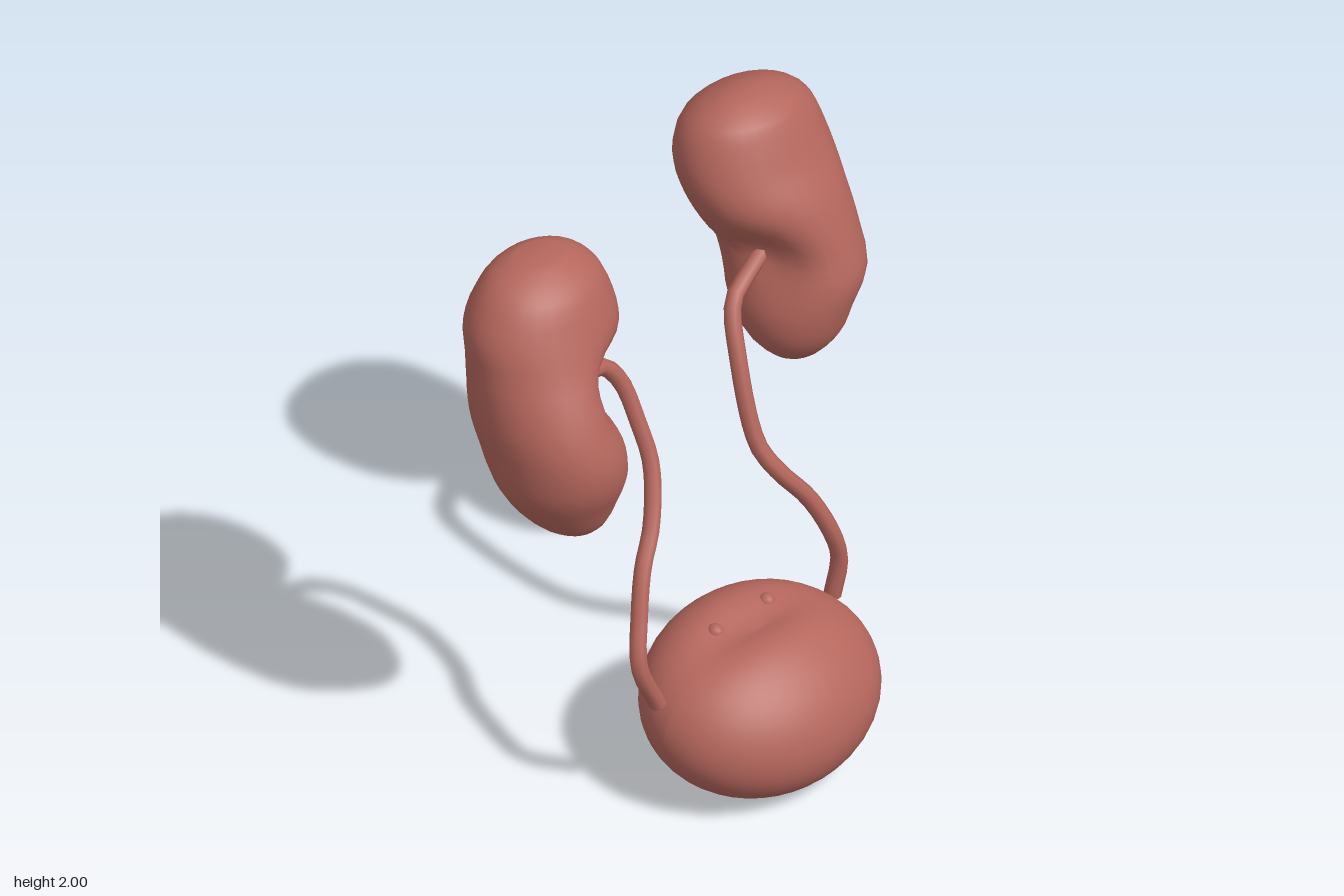
import * as THREE from 'three';

const material = new THREE.MeshStandardMaterial({ color: 0xb4665c, side: THREE.DoubleSide });

function addMesh(group, geometry, name) {
  const mesh = new THREE.Mesh(geometry, material);
  mesh.name = name;
  group.add(mesh);
  return mesh;
}

// Pull vertices near a point along a push vector, fading smoothly with distance
function dent(geometry, centre, radius, push) {
  const pos = geometry.attributes.position;
  const p = new THREE.Vector3();
  for (let i = 0; i < pos.count; i++) {
    p.fromBufferAttribute(pos, i);
    const d = p.clone().sub(centre).divide(radius);
    p.addScaledVector(push, Math.exp(-d.lengthSq()));
    pos.setXYZ(i, p.x, p.y, p.z);
  }
}

// Loft of oval slices; each row is [y, xMin, xMax, zMin, zMax], top to bottom
function loft(rows, rings = 30, sides = 28) {
  const low = new THREE.CatmullRomCurve3(rows.map(r => new THREE.Vector3(r[1], r[0], r[3])));
  const high = new THREE.CatmullRomCurve3(rows.map(r => new THREE.Vector3(r[2], r[0], r[4])));
  const pos = [], index = [];
  for (let j = 0; j <= rings; j++) {
    const a = low.getPoint(j / rings), b = high.getPoint(j / rings);
    for (let i = 0; i < sides; i++) {
      const t = (i / sides) * Math.PI * 2;
      pos.push(
        (a.x + b.x) / 2 + (b.x - a.x) / 2 * Math.cos(t),
        (a.y + b.y) / 2,
        (a.z + b.z) / 2 + (b.z - a.z) / 2 * Math.sin(t));
      if (j === rings) continue;
      const n = (i + 1) % sides, r = j * sides, s = r + sides;
      index.push(r + i, r + n, s + i, r + n, s + n, s + i);
    }
  }
  // Close both ends with a centre point
  for (const [ring, flip] of [[0, false], [rings, true]]) {
    const c = pos.length / 3, row = rows[flip ? rows.length - 1 : 0];
    pos.push((row[1] + row[2]) / 2, row[0] + (flip ? -0.004 : 0.004), (row[3] + row[4]) / 2);
    for (let i = 0; i < sides; i++) {
      const p = ring * sides + i, q = ring * sides + (i + 1) % sides;
      index.push(c, flip ? p : q, flip ? q : p);
    }
  }
  const geometry = new THREE.BufferGeometry();
  geometry.setAttribute('position', new THREE.Float32BufferAttribute(pos, 3));
  geometry.setIndex(index);
  return geometry;
}

function addKidney(group, name, rows, hilum, push) {
  const geometry = loft(rows);
  dent(geometry, hilum, new THREE.Vector3(0.12, 0.11, 0.12), push);
  geometry.computeVertexNormals();
  addMesh(group, geometry, name);
}

// Thin duct with flat capped lower end
function addUreter(group, name, points) {
  const curve = new THREE.CatmullRomCurve3(points.map(p => new THREE.Vector3(...p)));
  const duct = new THREE.Group();
  duct.name = name;
  addMesh(duct, new THREE.TubeGeometry(curve, 30, 0.028, 8), name + 'Tube');
  const cap = addMesh(duct, new THREE.CircleGeometry(0.028, 8), name + 'End');
  cap.position.copy(curve.getPoint(1));
  cap.lookAt(cap.position.clone().add(curve.getTangent(1)));
  group.add(duct);
}

export function createModel() {
  const group = new THREE.Group();
  group.name = 'urinarySystem';

  // Kidneys, leaning back at the top
  addKidney(group, 'leftKidney', [
    [2.0, 0.39, 0.53, -0.38, -0.29],
    [1.96, 0.29, 0.64, -0.46, -0.21],
    [1.9, 0.24, 0.71, -0.52, -0.17],
    [1.8, 0.215, 0.74, -0.535, -0.12],
    [1.7, 0.23, 0.745, -0.52, -0.06],
    [1.6, 0.27, 0.75, -0.5, -0.02],
    [1.5, 0.325, 0.75, -0.47, 0.01],
    [1.4, 0.335, 0.75, -0.44, 0.035],
    [1.3, 0.325, 0.7, -0.39, 0.02],
    [1.2, 0.345, 0.66, -0.32, -0.01],
    [1.11, 0.42, 0.59, -0.23, -0.08],
    [1.08, 0.48, 0.53, -0.18, -0.13],
  ], new THREE.Vector3(0.33, 1.52, -0.12), new THREE.Vector3(0.05, 0, -0.05));
  addKidney(group, 'rightKidney', [
    [1.88, -0.53, -0.37, -0.37, -0.25],
    [1.85, -0.61, -0.3, -0.42, -0.19],
    [1.8, -0.67, -0.25, -0.455, -0.13],
    [1.7, -0.73, -0.215, -0.48, -0.08],
    [1.6, -0.74, -0.22, -0.47, -0.03],
    [1.5, -0.75, -0.3, -0.45, 0.02],
    [1.4, -0.755, -0.35, -0.43, 0.06],
    [1.3, -0.745, -0.335, -0.4, 0.085],
    [1.2, -0.73, -0.32, -0.36, 0.075],
    [1.1, -0.68, -0.33, -0.31, 0.03],
    [1.0, -0.59, -0.38, -0.24, -0.02],
    [0.95, -0.5, -0.46, -0.15, -0.09],
  ], new THREE.Vector3(-0.36, 1.49, -0.08), new THREE.Vector3(-0.06, 0, -0.07));

  // Ureters
  addUreter(group, 'leftUreter', [
    [0.42, 1.51, -0.2], [0.33, 1.45, -0.19], [0.25, 1.4, -0.17], [0.2, 1.25, -0.1], [0.185, 0.98, 0.0],
    [0.22, 0.89, 0.05], [0.31, 0.76, 0.095], [0.37, 0.62, 0.13], [0.405, 0.5, 0.13], [0.39, 0.36, 0.115]]);
  addUreter(group, 'rightUreter', [
    [-0.4, 1.47, -0.16], [-0.31, 1.45, -0.17], [-0.25, 1.37, -0.15], [-0.23, 1.24, -0.1], [-0.23, 1.1, -0.04],
    [-0.3, 0.94, 0.03], [-0.38, 0.85, 0.075], [-0.44, 0.72, 0.12], [-0.485, 0.58, 0.165], [-0.42, 0.41, 0.18]]);

  // Bladder: sheared ellipsoid with a shallow trough on top and a dimple below
  const bladder = new THREE.SphereGeometry(1, 40, 28);
  bladder.scale(0.413, 0.267, 0.32);
  const shear = new THREE.Matrix4().set(1, 0, 0, -0.022, 0, 1, -0.2, 0.277, 0, 0, 1, 0.218, 0, 0, 0, 1);
  bladder.applyMatrix4(shear);
  dent(bladder, new THREE.Vector3(-0.02, 0.55, 0.19), new THREE.Vector3(0.22, 0.15, 0.08), new THREE.Vector3(0, -0.045, 0));
  dent(bladder, new THREE.Vector3(-0.02, 0.03, 0.15), new THREE.Vector3(0.07, 0.08, 0.06), new THREE.Vector3(0, 0.025, 0));
  bladder.computeVertexNormals();
  addMesh(group, bladder, 'bladder');

  // Small openings on top of the bladder
  for (const x of [-0.13, 0.09]) {
    const nub = addMesh(group, new THREE.SphereGeometry(0.028, 10, 8), 'bladderOpening');
    nub.position.set(x, 0.505, 0.135);
  }
  return group;
}
